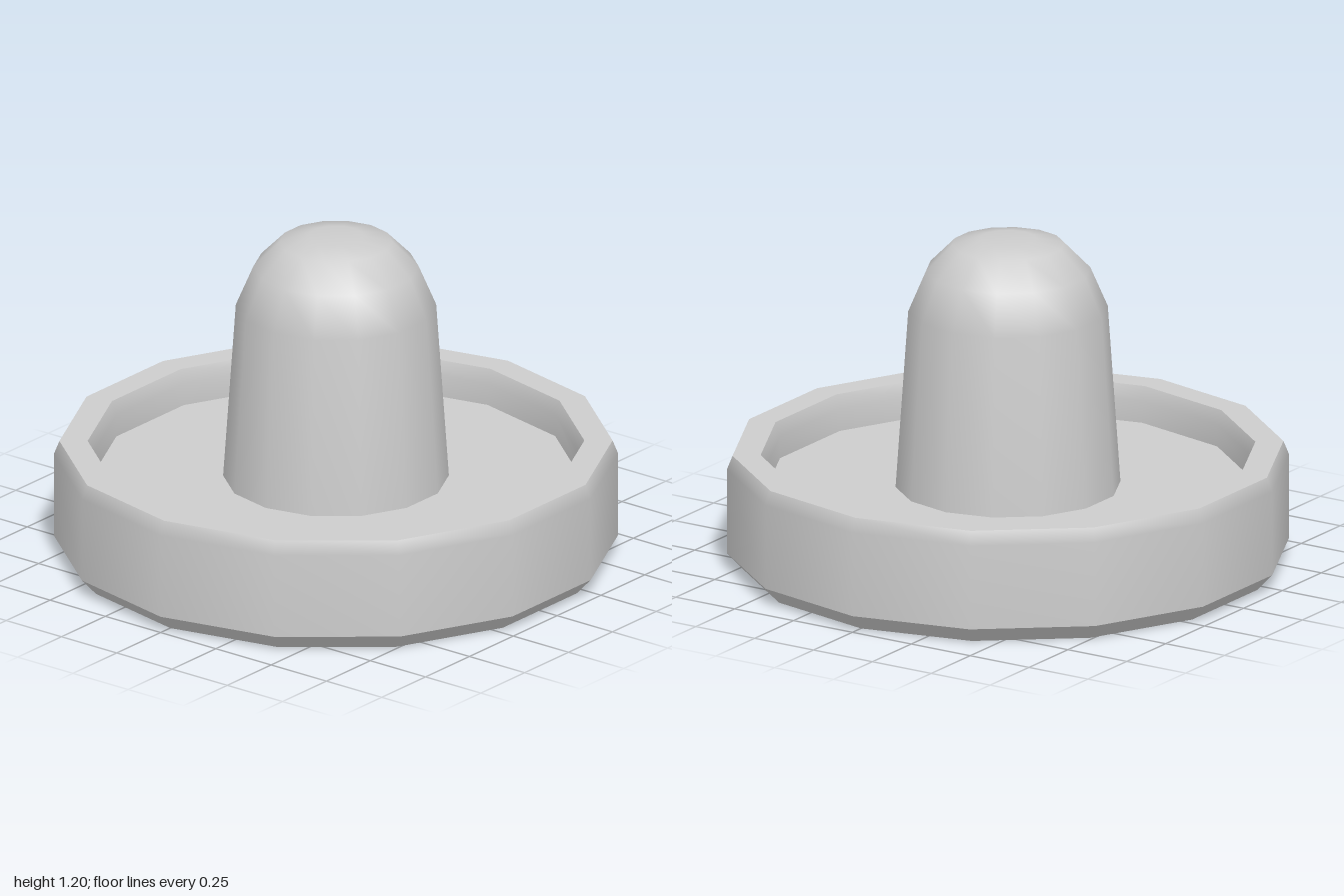
import * as THREE from 'three';

const SIDES = 14;

export function createModel() {
  const model = new THREE.Group();
  const grey = new THREE.MeshStandardMaterial({ color: 0xcccccc });
  grey.name = 'light grey plastic';

  // Each band is a smooth ring of its own, so edges between bands stay sharp
  const band = (name, profile) => {
    const points = profile.map(([r, y]) => new THREE.Vector2(r, y));
    const mesh = new THREE.Mesh(new THREE.LatheGeometry(points, SIDES, Math.PI / 2), grey);
    mesh.name = name;
    return mesh;
  };

  // Dish-shaped base with a raised rim
  const base = new THREE.Group();
  base.name = 'base';
  base.add(
    band('underside', [[0, 0], [0.945, 0]]),
    band('lowerBevel', [[0.945, 0], [1, 0.06]]),
    band('outerWall', [[1, 0.06], [1, 0.37], [0.98, 0.42]]),
    band('rimTop', [[0.98, 0.42], [0.88, 0.42]]),
    band('innerWall', [[0.88, 0.42], [0.863, 0.37], [0.863, 0.288]]),
    band('floor', [[0.863, 0.288], [0, 0.288]]),
  );

  // Tapered handle with a rounded, flat-tipped top
  const handle = band('handle', [
    [0.4, 0.288], [0.355, 0.94], [0.293, 1.085], [0.2, 1.18], [0.1, 1.2], [0, 1.2],
  ]);

  model.add(base, handle);
  return model;
}
